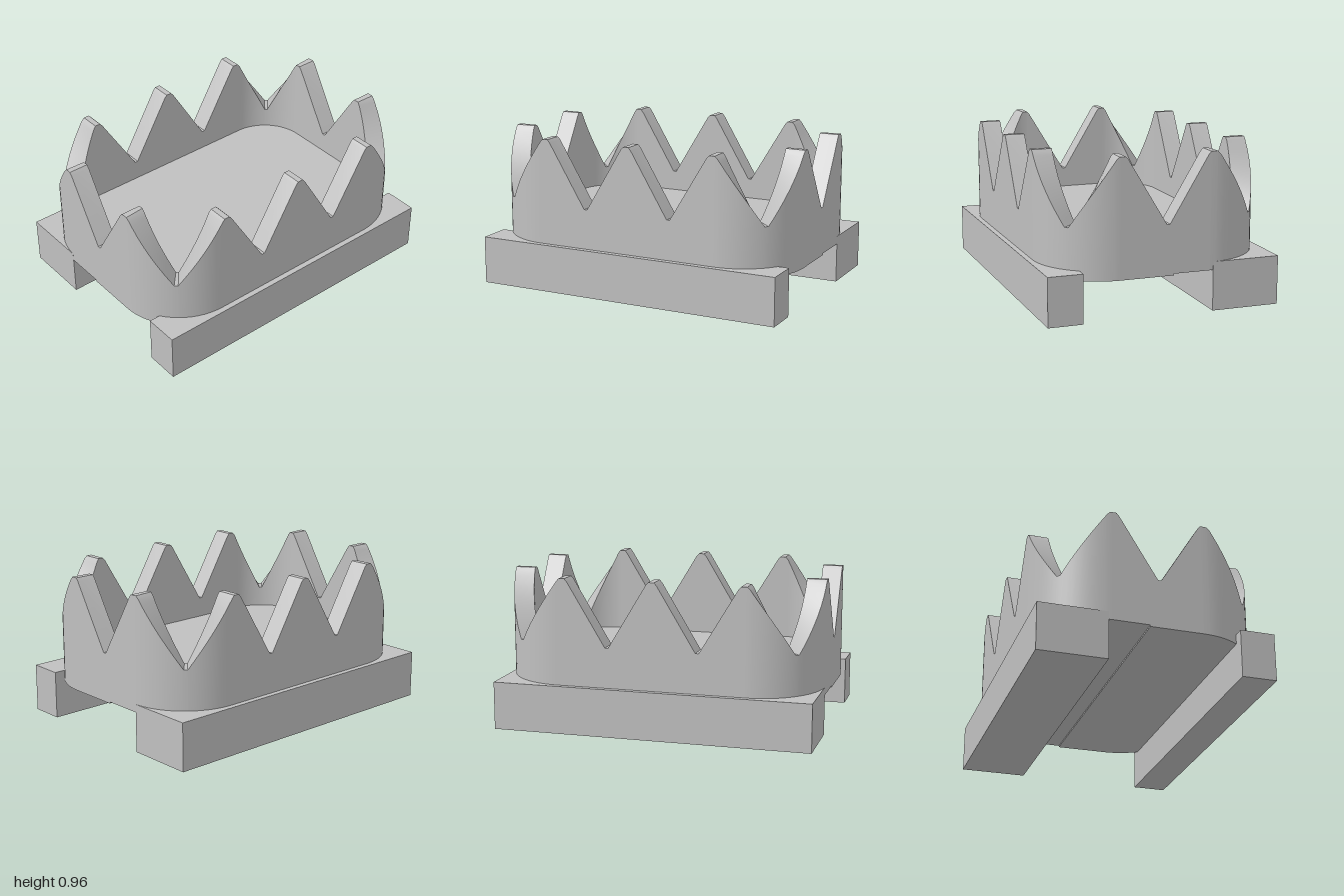
import * as THREE from 'three';
import { toCreasedNormals } from 'three/addons/utils/BufferGeometryUtils.js';

// Rounded rectangle: corner centres at (±A, ±C), outer and inner corner radii
const A = 0.59, C = 0.28, OUTER = 0.41, INNER = 0.285;
const ARC = (OUTER + INNER) / 2 * Math.PI / 2;
const TOTAL = 4 * (A + C + ARC);
const TEETH = 10, PITCH = TOTAL / TEETH, SHIFT = 0.012;
const BASE_Y = 0.25, FLOOR_Y = 0.42;

// Corners in travel order, starting at front centre and heading to +x
const CORNERS = [[A, C], [A, -C], [-A, -C], [-A, C]];

// Where a station s along the wall's middle line lies: hub point and outward direction
function station(s) {
  s = ((s % TOTAL) + TOTAL) % TOTAL;
  if (s < A) return { x: s, z: C, dx: 0, dz: 1 };
  s -= A;
  for (let k = 0; k < 4; k++) {
    const [cx, cz] = CORNERS[k];
    if (s < ARC) {
      const t = (k + s / ARC) * Math.PI / 2;
      return { x: cx, z: cz, dx: Math.sin(t), dz: Math.cos(t) };
    }
    s -= ARC;
    const [nx, nz] = CORNERS[(k + 1) % 4];
    const len = Math.hypot(nx - cx, nz - cz);
    if (s < len || k === 3) {
      const f = s / len, t = (k + 1) * Math.PI / 2;
      return { x: cx + (nx - cx) * f, z: cz + (nz - cz) * f, dx: Math.round(Math.sin(t)), dz: Math.round(Math.cos(t)) };
    }
    s -= len;
  }
}

// Half a tooth: distance from its peak, height
const PROFILE = [[0, 0.963], [0.018, 0.963], [0.034, 0.945], [PITCH / 2 - 0.01, 0.55], [PITCH / 2, 0.55]];

function toothHeight(s) {
  const u = (s - SHIFT) / PITCH;
  const d = Math.abs(u - Math.round(u)) * PITCH;
  for (let i = 1; i < PROFILE.length; i++) {
    const [d0, y0] = PROFILE[i - 1], [d1, y1] = PROFILE[i];
    if (d <= d1) return y0 + (y1 - y0) * (d - d0) / (d1 - d0);
  }
  return 0.55;
}

// All stations: tooth break points plus even steps round the corners
function stations() {
  const list = [];
  for (let i = 0; i < TEETH; i++)
    for (const [d] of PROFILE.slice(1, 4)) list.push(SHIFT + i * PITCH + d, SHIFT + i * PITCH - d);
  let start = A;
  for (let k = 0; k < 4; k++) {
    for (let j = 0; j <= 16; j++) list.push(start + ARC * j / 16);
    start += ARC + (k % 2 ? 2 * A : 2 * C);
  }
  const sorted = list.map(s => (s + TOTAL) % TOTAL).sort((a, b) => a - b);
  return sorted.filter((s, i) => i === 0 || s - sorted[i - 1] > 1e-4);
}

// Toothed wall lofted from four-point cross-sections
function wallGeometry() {
  const pos = [], index = [], list = stations(), n = list.length;
  for (const s of list) {
    const p = station(s), h = toothHeight(s);
    for (const [r, y] of [[OUTER, BASE_Y], [OUTER, h], [INNER, h], [INNER, FLOOR_Y]])
      pos.push(p.x + p.dx * r, y, p.z + p.dz * r);
  }
  for (let i = 0; i < n; i++)
    for (let k = 0; k < 3; k++) {
      const a = i * 4 + k, b = ((i + 1) % n) * 4 + k;
      index.push(a, b, b + 1, a, b + 1, a + 1);
    }
  const g = new THREE.BufferGeometry();
  g.setAttribute('position', new THREE.Float32BufferAttribute(pos, 3));
  g.setIndex(index);
  return toCreasedNormals(g, 0.5);
}

// Rounded outline as [x, z] points
function outline(r) {
  return stations().map(s => {
    const p = station(s);
    return new THREE.Vector2(p.x + p.dx * r, p.z + p.dz * r);
  });
}

export function createModel() {
  const model = new THREE.Group();
  const grey = new THREE.MeshStandardMaterial({ color: 0xc0c0c0 });
  grey.name = 'grey';
  const add = (name, geometry) => {
    const mesh = new THREE.Mesh(geometry, grey);
    mesh.name = name;
    model.add(mesh);
    return mesh;
  };

  add('toothedWall', wallGeometry());

  // Tray floor and underside
  add('trayFloor', new THREE.ShapeGeometry(new THREE.Shape(outline(INNER)))
    .rotateX(-Math.PI / 2).translate(0, FLOOR_Y, 0));
  add('trayUnderside', new THREE.ShapeGeometry(new THREE.Shape(outline(OUTER)))
    .rotateX(Math.PI / 2).translate(0, BASE_Y, 0));

  // Slightly lower step under the front part of the tray
  const front = outline(OUTER).filter(p => p.y > -0.05);
  const cut = front.findIndex((p, i) => i > 0 && p.x < 0 && front[i - 1].x > 0.9);
  const at = cut < 0 ? front.length : cut;
  front.splice(at, 0, new THREE.Vector2(1, -0.05), new THREE.Vector2(-1, -0.05));
  add('undersideStep', toCreasedNormals(
    new THREE.ExtrudeGeometry(new THREE.Shape(front), { depth: 0.01, bevelEnabled: false })
      .rotateX(Math.PI / 2).translate(0, BASE_Y, 0), 0.5));

  // Support bars: name, back z, front z
  for (const [name, z0, z1] of [['frontBar', 0.51, 0.725], ['backBar', -0.725, -0.3]])
    add(name, new THREE.BoxGeometry(2, 0.3, z1 - z0)).position.set(0, 0.15, (z0 + z1) / 2);

  return model;
}
